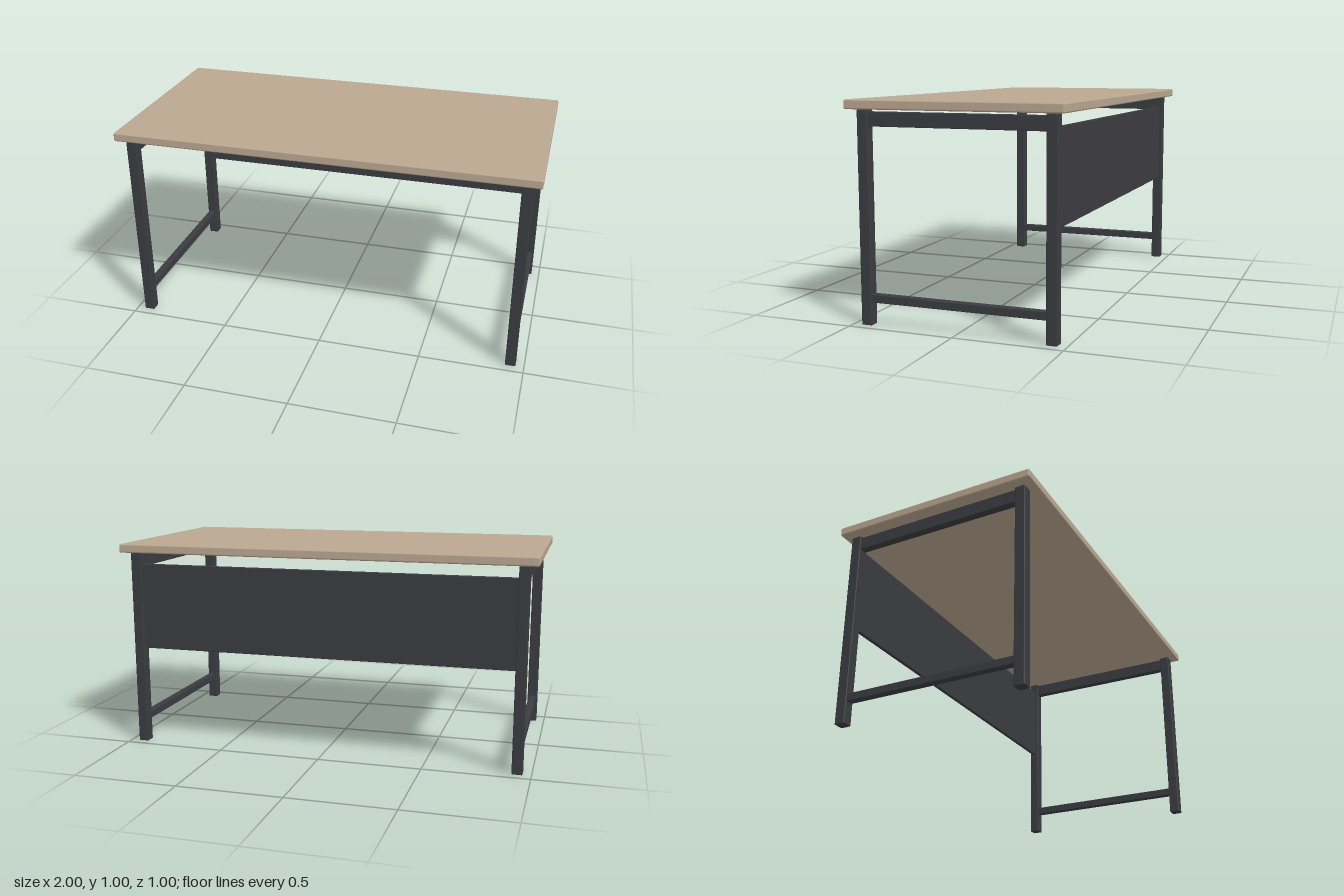
import * as THREE from 'three';
import { RoundedBoxGeometry } from 'three/addons/geometries/RoundedBoxGeometry.js';

const wood = new THREE.MeshStandardMaterial({ color: 0xbaa791 });
const metal = new THREE.MeshStandardMaterial({ color: 0x3b3c41 });

// Box with softly eased edges, centred on (x, y, z)
function bar(name, [w, h, d], [x, y, z], material, ease) {
  const mesh = new THREE.Mesh(new RoundedBoxGeometry(w, h, d, 2, ease), material);
  mesh.name = name;
  mesh.position.set(x, y, z);
  return mesh;
}

export function createModel() {
  const desk = new THREE.Group();
  desk.name = 'desk';

  // Table top, floating just above the legs
  desk.add(bar('tableTop', [2, 0.042, 1], [0, 0.979, 0], wood, 0.007));

  // One frame per side: two square legs joined by an upper and a lower rail
  for (const [side, s] of [['left', 1], ['right', -1]]) {
    const frame = new THREE.Group();
    frame.name = side + 'Frame';
    const x = s * 0.935;
    frame.add(
      bar('frontLeg', [0.05, 0.955, 0.05], [x, 0.4775, 0.435], metal, 0.004),
      bar('backLeg', [0.05, 0.955, 0.05], [x, 0.4775, -0.435], metal, 0.004),
      bar('upperRail', [0.036, 0.064, 0.824], [x, 0.915, 0], metal, 0.003),
      bar('lowerRail', [0.036, 0.037, 0.824], [x, 0.122, 0], metal, 0.003),
    );
    desk.add(frame);
  }

  // Modesty panel between the back legs
  desk.add(bar('modestyPanel', [1.824, 0.42, 0.018], [0, 0.69, -0.435], metal, 0.003));

  return desk;
}
